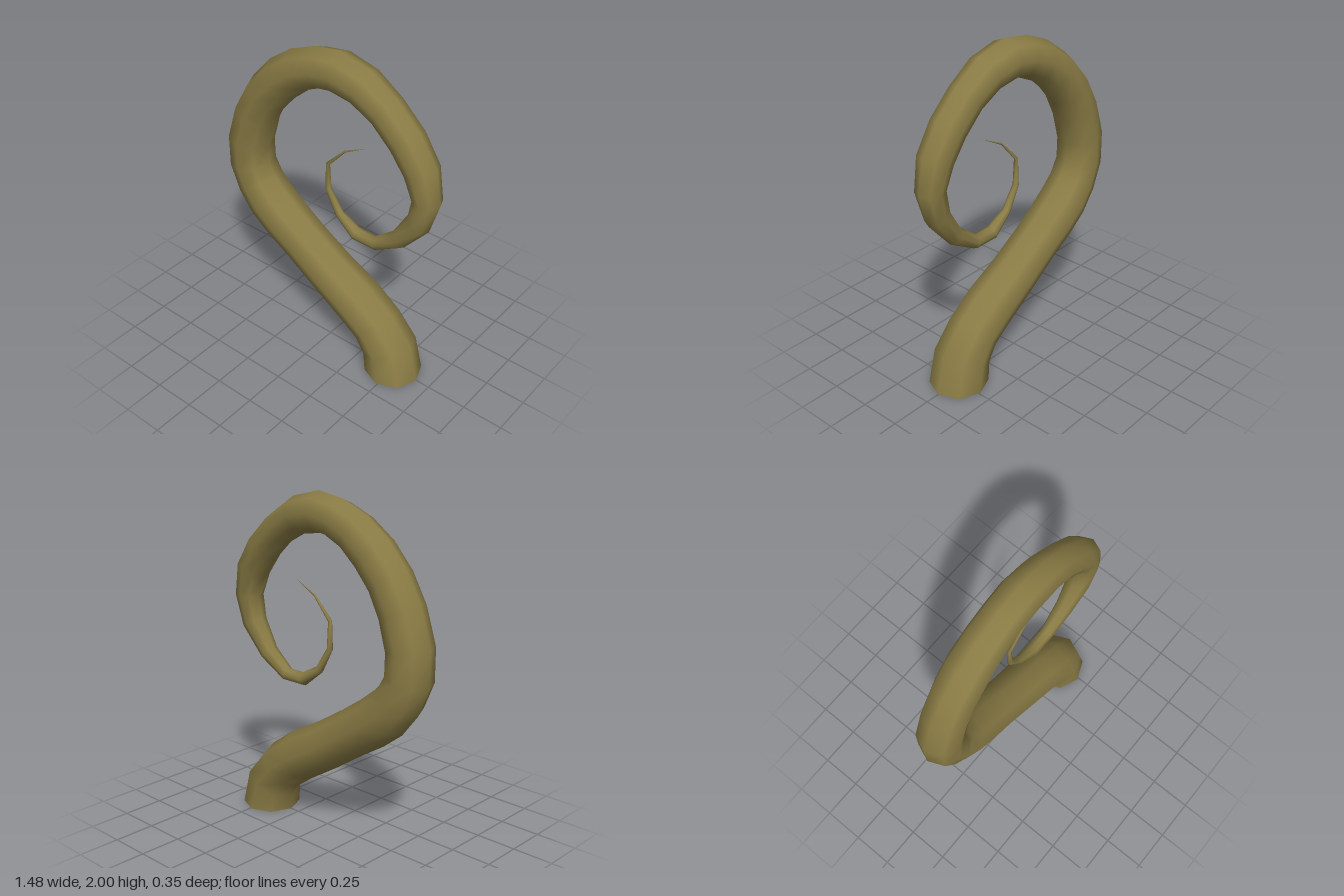
import * as THREE from 'three';

// Spine of the tendril from base to tip: x, y, radius
const SPINE = [
  [0.488, 0, 0.174], [0.455, 0.165, 0.165], [0.36, 0.285, 0.155], [0.215, 0.39, 0.155],
  [0, 0.515, 0.147], [-0.2, 0.645, 0.143], [-0.345, 0.74, 0.147], [-0.46, 0.83, 0.148],
  [-0.545, 0.93, 0.142], [-0.603, 1.055, 0.138], [-0.605, 1.22, 0.136], [-0.545, 1.415, 0.133],
  [-0.46, 1.57, 0.13], [-0.345, 1.7, 0.128], [-0.215, 1.8, 0.121], [-0.075, 1.86, 0.117],
  [0.06, 1.882, 0.118], [0.225, 1.848, 0.112], [0.375, 1.757, 0.104], [0.51, 1.63, 0.104],
  [0.61, 1.485, 0.1], [0.652, 1.32, 0.084], [0.61, 1.155, 0.074], [0.485, 0.985, 0.055],
  [0.33, 0.88, 0.041], [0.19, 0.88, 0.04], [0.065, 0.965, 0.025], [-0.018, 1.105, 0.018],
  [-0.02, 1.27, 0.012], [0.1, 1.4, 0.006], [0.245, 1.475, 0.0005],
];
const SIDES = 8;

// Sweeps an eight-sided ring along the spine, open at the base
function taperedTube(spine) {
  const positions = [], index = [];
  const last = spine.length - 1;
  spine.forEach(([x, y, r], i) => {
    const a = spine[Math.max(i - 1, 0)], b = spine[Math.min(i + 1, last)];
    // the base ring lies flat on the ground
    const t = i === 0 ? new THREE.Vector2(0, 1)
      : new THREE.Vector2(b[0] - a[0], b[1] - a[1]).normalize();
    for (let s = 0; s < SIDES; s++) {
      const angle = (s / SIDES) * Math.PI * 2;
      const n = r * Math.cos(angle);
      positions.push(x + t.y * n, y - t.x * n, r * Math.sin(angle));
      if (i < last) {
        const p = i * SIDES + s, q = i * SIDES + (s + 1) % SIDES;
        index.push(q, p, p + SIDES, q, p + SIDES, q + SIDES);
      }
    }
  });
  const geometry = new THREE.BufferGeometry();
  geometry.setAttribute('position', new THREE.Float32BufferAttribute(positions, 3));
  geometry.setIndex(index);
  geometry.computeVertexNormals();
  return geometry;
}

export function createModel() {
  const group = new THREE.Group();
  group.name = 'curledTendril';
  const olive = new THREE.MeshStandardMaterial({ color: 0x8a7c45, side: THREE.DoubleSide });
  olive.name = 'olive';
  const tendril = new THREE.Mesh(taperedTube(SPINE), olive);
  tendril.name = 'tendril';
  group.add(tendril);
  return group;
}
